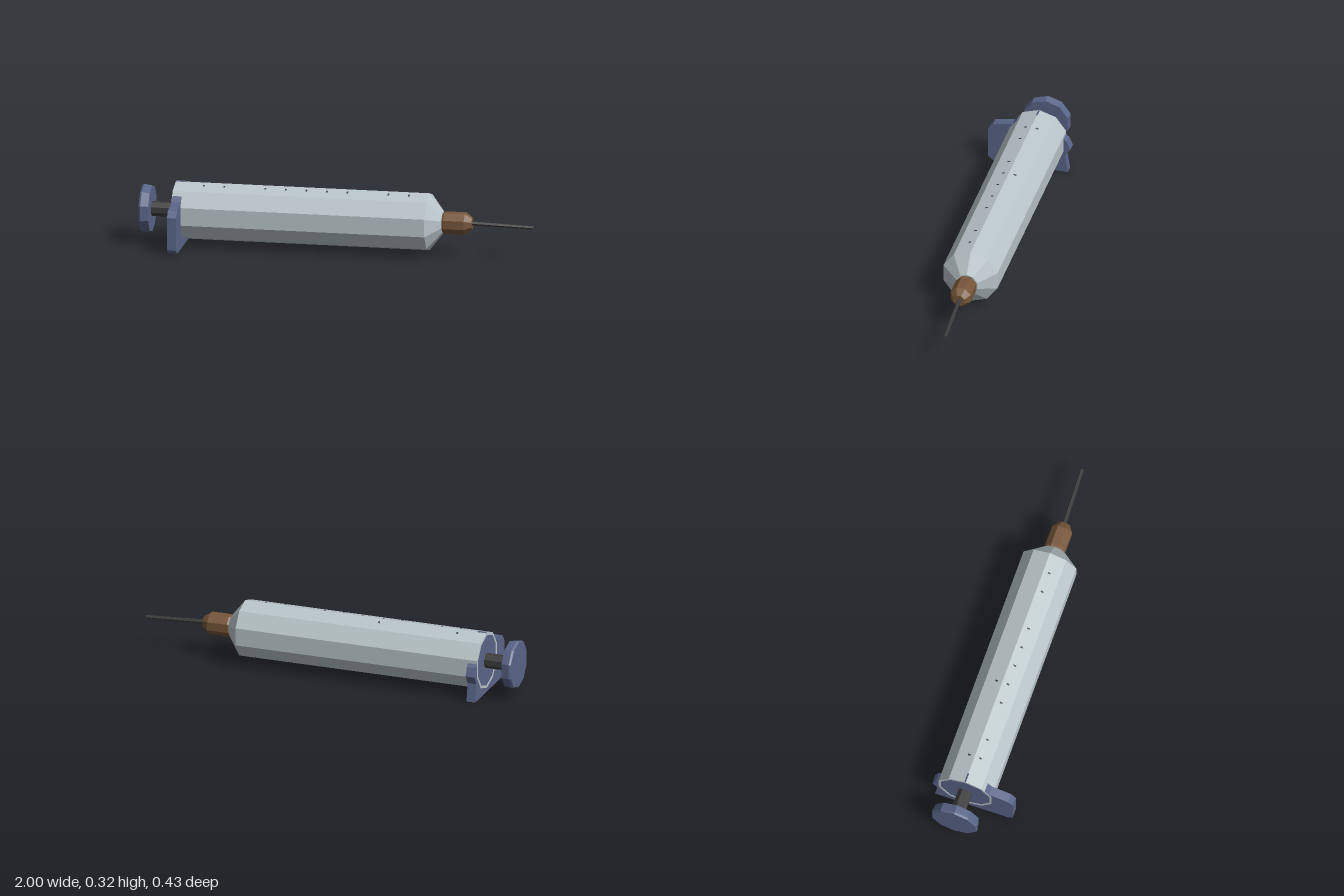
import * as THREE from 'three';

const AXIS_Y = 0.17, AXIS_Z = -0.038;

const paint = (name, color) => {
  const m = new THREE.MeshStandardMaterial({ color });
  m.name = name;
  return m;
};

// Faceted normals
function facet(geometry) {
  const g = geometry.index ? geometry.toNonIndexed() : geometry;
  g.computeVertexNormals();
  return g;
}

// Faceted solid turned about the long axis; profile is [x, radius] from back to tip
function turned(name, profile, sides, phase, material) {
  const points = profile.map(([x, r]) => new THREE.Vector2(r, x));
  const g = new THREE.LatheGeometry(points, sides, phase);
  g.rotateZ(-Math.PI / 2);
  g.translate(0, AXIS_Y, AXIS_Z);
  const mesh = new THREE.Mesh(facet(g), material);
  mesh.name = name;
  return mesh;
}

export function createModel() {
  const glass = paint('pale grey', 0xb9c5c9);
  const blue = paint('slate blue', 0x5a6689);
  const brown = paint('brown', 0x76563a);
  const dark = paint('dark grey', 0x3d3d3d);
  const group = new THREE.Group();
  group.name = 'syringe';

  // Barrel with a rim at the back and a cone at the front
  group.add(turned('barrel', [
    [-0.8, 0.135], [-0.829, 0.135], [-0.829, 0.148], [0.47, 0.148], [0.54, 0.058], [0.54, 0],
  ], 10, Math.PI / 2, glass));

  // Needle hub
  group.add(turned('needleHub', [
    [0.535, 0], [0.535, 0.05], [0.55, 0.057], [0.655, 0.057], [0.69, 0.032], [0.69, 0],
  ], 8, Math.PI / 8, brown));

  // Plunger rod and thumb disc
  group.add(turned('plungerRod', [
    [-0.96, 0], [-0.96, 0.038], [-0.81, 0.038], [-0.81, 0],
  ], 8, Math.PI / 8, dark));
  group.add(turned('thumbDisc', [
    [-1, 0], [-1, 0.12], [-0.99, 0.126], [-0.95, 0.12], [-0.95, 0],
  ], 10, Math.PI / 2, blue));

  // Needle, slightly bent off the axis
  const start = new THREE.Vector3(0.68, 0.172, -0.039);
  const end = new THREE.Vector3(1, 0.16, -0.051);
  const path = end.clone().sub(start);
  const needle = new THREE.Mesh(
    facet(new THREE.CylinderGeometry(0.009, 0.011, path.length(), 6)), dark);
  needle.name = 'needle';
  needle.position.copy(start).add(end).multiplyScalar(0.5);
  needle.quaternion.setFromUnitVectors(new THREE.Vector3(0, 1, 0), path.normalize());
  group.add(needle);

  // Finger flange, an uneven plate outlined in [z, y]
  const outline = [
    [0.19, 0], [0.215, 0.022], [0.215, 0.19], [0.19, 0.222], [0.088, 0.24], [0.048, 0.288],
    [-0.033, 0.315], [-0.038, 0.323], [-0.043, 0.315], [-0.124, 0.288], [-0.178, 0.2],
    [-0.196, 0.184], [-0.214, 0.14], [-0.185, 0.095], [-0.2, 0],
  ].map(([z, y]) => new THREE.Vector2(-z, y));
  const plate = new THREE.ExtrudeGeometry(new THREE.Shape(outline),
    { depth: 0.047, bevelEnabled: false });
  plate.rotateY(Math.PI / 2);
  plate.translate(-0.827, 0, 0);
  const flange = new THREE.Mesh(facet(plate), blue);
  flange.name = 'fingerFlange';
  group.add(flange);

  // Scale marks on the two upper facets
  const marks = new THREE.Group();
  marks.name = 'scaleMarks';
  const addMark = (x, side) => {
    const mark = new THREE.Mesh(new THREE.BoxGeometry(0.008, 0.003, 0.014), dark);
    mark.name = 'scaleMark';
    mark.position.set(x, AXIS_Y + 0.148 - 0.03 * Math.tan(Math.PI / 10), AXIS_Z + side * 0.03);
    mark.rotation.x = side * Math.PI / 10;
    marks.add(mark);
  };
  for (const x of [-0.68, -0.575, -0.365, -0.26, -0.155, -0.05, 0.055, 0.265, 0.37]) addMark(x, 1);
  for (const x of [-0.68, -0.26]) addMark(x, -1);
  group.add(marks);

  return group;
}
